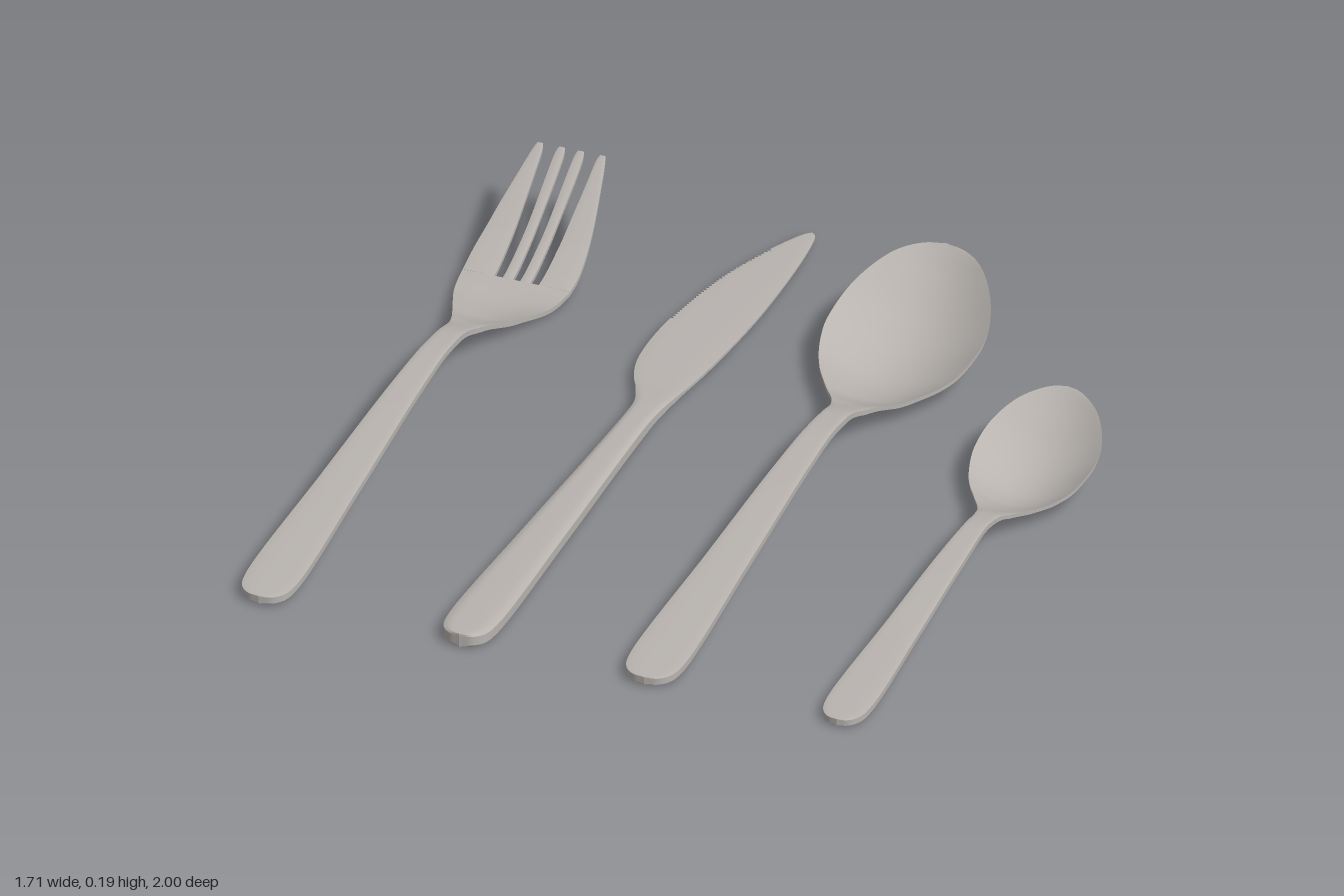
import * as THREE from 'three';

const steel = new THREE.MeshStandardMaterial({ color: 0xb8b3af });
steel.name = 'brushed steel';

// Smooth monotone curve through [z, value] pairs listed from +z to -z
function ease(pts) {
  const n = pts.length;
  const d = pts.slice(1).map((p, i) => (p[1] - pts[i][1]) / (p[0] - pts[i][0]));
  const m = pts.map((p, i) => {
    if (i === 0) return d[0];
    if (i === n - 1) return d[n - 2];
    return d[i - 1] * d[i] <= 0 ? 0 : (2 * d[i - 1] * d[i]) / (d[i - 1] + d[i]);
  });
  return (z) => {
    if (z >= pts[0][0]) return pts[0][1];
    if (z <= pts[n - 1][0]) return pts[n - 1][1];
    let i = 0;
    while (z < pts[i + 1][0]) i++;
    const h = pts[i + 1][0] - pts[i][0], t = (z - pts[i][0]) / h;
    const t2 = t * t, t3 = t2 * t;
    return (2 * t3 - 3 * t2 + 1) * pts[i][1] + (t3 - 2 * t2 + t) * h * m[i]
      + (3 * t2 - 2 * t3) * pts[i + 1][1] + (t3 - t2) * h * m[i + 1];
  };
}

// Solid plate: outline of [z, left, right], bent by mid / rise / thick along z
function plate(name, outline, form, rows = 140, cols = 14) {
  const curve = new THREE.CatmullRomCurve3(outline.map(([z, l, r]) => new THREE.Vector3(l, r, z)));
  const sections = curve.getSpacedPoints(rows).map((p, i) => {
    const right = Math.max(p.x, p.y);
    const left = Math.min(p.x, p.y) + (form.teeth ? form.teeth(p.z, i) : 0);
    return { left, right, z: p.z };
  });
  const point = (i, u, side) => {
    const s = sections[i];
    const half = form.thick(s.z) / 2;
    const y = form.mid(s.z) + form.rise(s.z) * u * u + half
      + side * half * (1 - form.bevel * Math.pow(u, 6));
    return [s.left + (s.right - s.left) * (u + 1) / 2, y, s.z];
  };
  const pos = [], idx = [];
  const grid = (ni, nj, fn) => {
    const base = pos.length / 3;
    for (let i = 0; i <= ni; i++) for (let j = 0; j <= nj; j++) pos.push(...fn(i, j));
    for (let i = 0; i < ni; i++) for (let j = 0; j < nj; j++) {
      const a = base + i * (nj + 1) + j, c = a + nj + 1;
      idx.push(a, a + 1, c, a + 1, c + 1, c);
    }
  };
  const u = (j) => (2 * j) / cols - 1;
  grid(rows, cols, (i, j) => point(i, u(j), 1)); // top
  grid(rows, cols, (i, j) => point(i, -u(j), -1)); // underside
  grid(rows, 1, (i, j) => point(i, -1, j ? 1 : -1)); // edges
  grid(rows, 1, (i, j) => point(i, 1, j ? -1 : 1));
  grid(1, cols, (i, j) => point(0, u(j), i ? 1 : -1)); // end caps
  grid(1, cols, (i, j) => point(rows, -u(j), i ? 1 : -1));
  const geo = new THREE.BufferGeometry();
  geo.setAttribute('position', new THREE.Float32BufferAttribute(pos, 3));
  geo.setIndex(idx);
  geo.computeVertexNormals();
  const mesh = new THREE.Mesh(geo, steel);
  mesh.name = name;
  return mesh;
}

const mirrored = (pts) => pts.map(([z, w]) => [z, -w, w]);
const roundedEnd = (w) => [[1, 0], [0.992, w * 0.5], [0.968, w * 0.85], [0.92, w]];
const handleBend = [[1, 0.008], [0.5, 0.053], [0.1, 0.09], [-0.03, 0.096], [-0.14, 0.088]];

function makeFork() {
  const fork = new THREE.Group();
  fork.name = 'fork';
  const form = {
    mid: ease([...handleBend, [-0.25, 0.055], [-0.35, 0.017], [-0.45, 0.002], [-0.55, 0.015],
      [-0.65, 0.052], [-0.75, 0.108], [-0.87, 0.183]]),
    rise: ease([[-0.22, 0], [-0.38, 0.012], [-0.54, 0]]),
    thick: ease([[1, 0.02], [-0.1, 0.018], [-0.4, 0.014], [-0.87, 0.012]]),
    bevel: 0.2,
  };
  fork.add(plate('forkHandleAndHead', mirrored([...roundedEnd(0.064), [0.5, 0.051], [0.1, 0.036],
    [-0.1, 0.03], [-0.2, 0.032], [-0.26, 0.045], [-0.35, 0.079], [-0.45, 0.117], [-0.5, 0.128],
    [-0.54, 0.133]]), form));
  for (const s of [-1, 1]) {
    // each tine runs from its inner to its outer edge
    const side = (pts) => pts.map(([z, a, b]) => (s > 0 ? [z, a, b] : [z, -b, -a]));
    fork.add(plate('innerTine', side([[-0.54, 0.009, 0.034], [-0.7, 0.011, 0.034],
      [-0.86, 0.013, 0.034], [-0.87, 0.016, 0.031]]), form, 40, 4));
    fork.add(plate('outerTine', side([[-0.54, 0.055, 0.133], [-0.6, 0.057, 0.134],
      [-0.7, 0.06, 0.122], [-0.8, 0.064, 0.102], [-0.86, 0.067, 0.088], [-0.87, 0.07, 0.084]]),
    form, 40, 6));
  }
  fork.position.x = -0.723;
  return fork;
}

function makeKnife() {
  const knife = new THREE.Group();
  knife.name = 'knife';
  const c = -0.227;
  const handle = [...roundedEnd(0.061), [0.5, 0.051], [0.1, 0.037], [-0.08, 0.034]];
  const thick = ease([[1, 0.035], [0, 0.034], [-0.12, 0.026], [-0.26, 0.011], [-1, 0.006]]);
  knife.add(plate('knifeHandleAndBlade', [
    ...handle.map(([z, w]) => [z, c - w, c + w]),
    [-0.14, -0.265, -0.189], [-0.2, -0.287, -0.182], [-0.25, -0.312, -0.175],
    [-0.32, -0.332, -0.166], [-0.45, -0.338, -0.155], [-0.6, -0.323, -0.148],
    [-0.75, -0.293, -0.149], [-0.88, -0.248, -0.155], [-0.96, -0.212, -0.163],
    [-0.99, -0.194, -0.17], [-1, -0.181, -0.18],
  ], {
    mid: (z) => 0.022 - thick(z) / 2,
    rise: () => 0,
    thick,
    bevel: 0.35,
    // fine serrations on the cutting edge
    teeth: (z, i) => (z < -0.52 && z > -0.9 && i % 2 ? 0.006 : 0),
  }, 400, 12));
  return knife;
}

function makeSpoon(name, x, outline, mid, rise, thick) {
  const spoon = new THREE.Group();
  spoon.name = name;
  spoon.add(plate(name + 'HandleAndBowl', mirrored(outline),
    { mid: ease(mid), rise: ease(rise), thick: ease(thick), bevel: 0.2 }, 200, 20));
  spoon.position.x = x;
  return spoon;
}

export function createModel() {
  const model = new THREE.Group();
  model.name = 'cutlerySet';
  model.add(makeFork(), makeKnife());
  model.add(makeSpoon('tableSpoon', 0.23,
    [...roundedEnd(0.067), [0.5, 0.053], [0.1, 0.038], [-0.1, 0.032], [-0.19, 0.035],
      [-0.25, 0.053], [-0.32, 0.095], [-0.4, 0.145], [-0.48, 0.177], [-0.56, 0.189],
      [-0.64, 0.178], [-0.71, 0.147], [-0.77, 0.098], [-0.8, 0.05], [-0.81, 0]],
    [...handleBend, [-0.25, 0.055], [-0.35, 0.016], [-0.45, 0.002], [-0.55, 0.014],
      [-0.65, 0.053], [-0.75, 0.125], [-0.81, 0.183]],
    [[-0.22, 0], [-0.3, 0.014], [-0.36, 0.032], [-0.45, 0.052], [-0.55, 0.068], [-0.65, 0.064],
      [-0.75, 0.038], [-0.81, 0]],
    [[1, 0.02], [-0.1, 0.018], [-0.35, 0.012], [-0.81, 0.01]]));
  model.add(makeSpoon('teaSpoon', 0.707,
    [...roundedEnd(0.055), [0.6, 0.044], [0.3, 0.032], [0.16, 0.026], [0.1, 0.029], [0.06, 0.04],
      [0, 0.073], [-0.07, 0.116], [-0.14, 0.139], [-0.2, 0.145], [-0.26, 0.135], [-0.32, 0.102],
      [-0.36, 0.058], [-0.375, 0.028], [-0.38, 0]],
    [[1, 0.006], [0.6, 0.039], [0.3, 0.066], [0.18, 0.072], [0.1, 0.063], [0, 0.026], [-0.05, 0.009],
      [-0.1, 0.002], [-0.17, 0.011], [-0.25, 0.044], [-0.32, 0.094], [-0.38, 0.147]],
    [[0.06, 0], [0, 0.014], [-0.08, 0.04], [-0.17, 0.055], [-0.25, 0.048], [-0.32, 0.029], [-0.38, 0]],
    [[1, 0.018], [0.2, 0.016], [0, 0.011], [-0.38, 0.009]]));
  return model;
}
